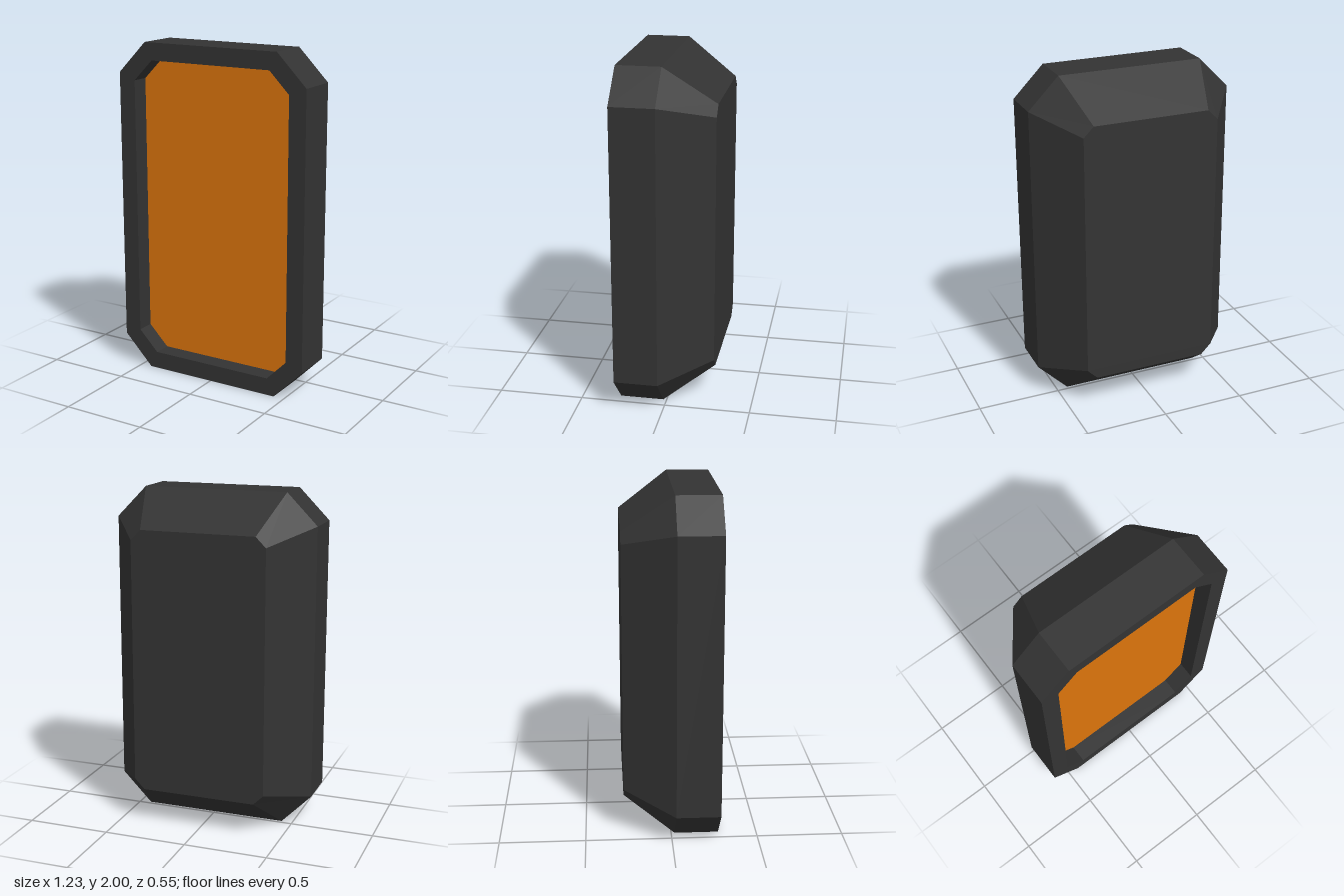
import * as THREE from 'three';

// Chamfered rectangle, anticlockwise seen from +z, centred on y = 1.
// w, h: half width and half height; cw, ch: where the chamfers start.
function octagon(w, h, cw, ch) {
  return [[w, -ch], [w, ch], [cw, h], [-cw, h], [-w, ch], [-w, -ch], [-cw, -h], [cw, -h]]
    .map(([x, y]) => new THREE.Vector2(x, y + 1));
}

// Joins rings of equal point count with quads and closes the last ring.
function loft(rings) {
  const pos = [];
  const add = (...pts) => pts.forEach((p) => pos.push(p.x, p.y, p.z));
  const pts = rings.map(({ ring, z }) => ring.map((p) => new THREE.Vector3(p.x, p.y, z)));
  for (let k = 0; k + 1 < pts.length; k++) {
    const a = pts[k], b = pts[k + 1];
    a.forEach((_, i) => {
      const j = (i + 1) % a.length;
      add(a[i], b[i], b[j], a[i], b[j], a[j]);
    });
  }
  const last = pts[pts.length - 1];
  for (let i = 1; i + 1 < last.length; i++) add(last[0], last[i + 1], last[i]);
  const geo = new THREE.BufferGeometry();
  geo.setAttribute('position', new THREE.Float32BufferAttribute(pos, 3));
  geo.computeVertexNormals();
  return geo;
}

export function createModel() {
  const casingGrey = new THREE.MeshStandardMaterial({ name: 'casingGrey', color: 0x333333 });
  const panelOrange = new THREE.MeshStandardMaterial({ name: 'panelOrange', color: 0xdc740c });

  const outer = octagon(0.615, 1, 0.433, 0.815);
  const inner = octagon(0.51, 0.897, 0.387, 0.773);
  const back = octagon(0.405, 0.788, 0.345, 0.728);
  const front = 0.276, recess = 0.168;

  const group = new THREE.Group();
  group.name = 'framedPanel';

  // Casing: recess wall, front rim, straight sides, tapered back and back face
  const casing = new THREE.Mesh(loft([
    { ring: inner, z: recess },
    { ring: inner, z: front },
    { ring: outer, z: front },
    { ring: outer, z: 0.02 },
    { ring: back, z: -0.276 },
  ]), casingGrey);
  casing.name = 'casing';

  // Flat panel at the bottom of the recess
  const panel = new THREE.Mesh(new THREE.ShapeGeometry(new THREE.Shape(inner)), panelOrange);
  panel.name = 'frontPanel';
  panel.position.z = recess;

  group.add(casing, panel);
  return group;
}
